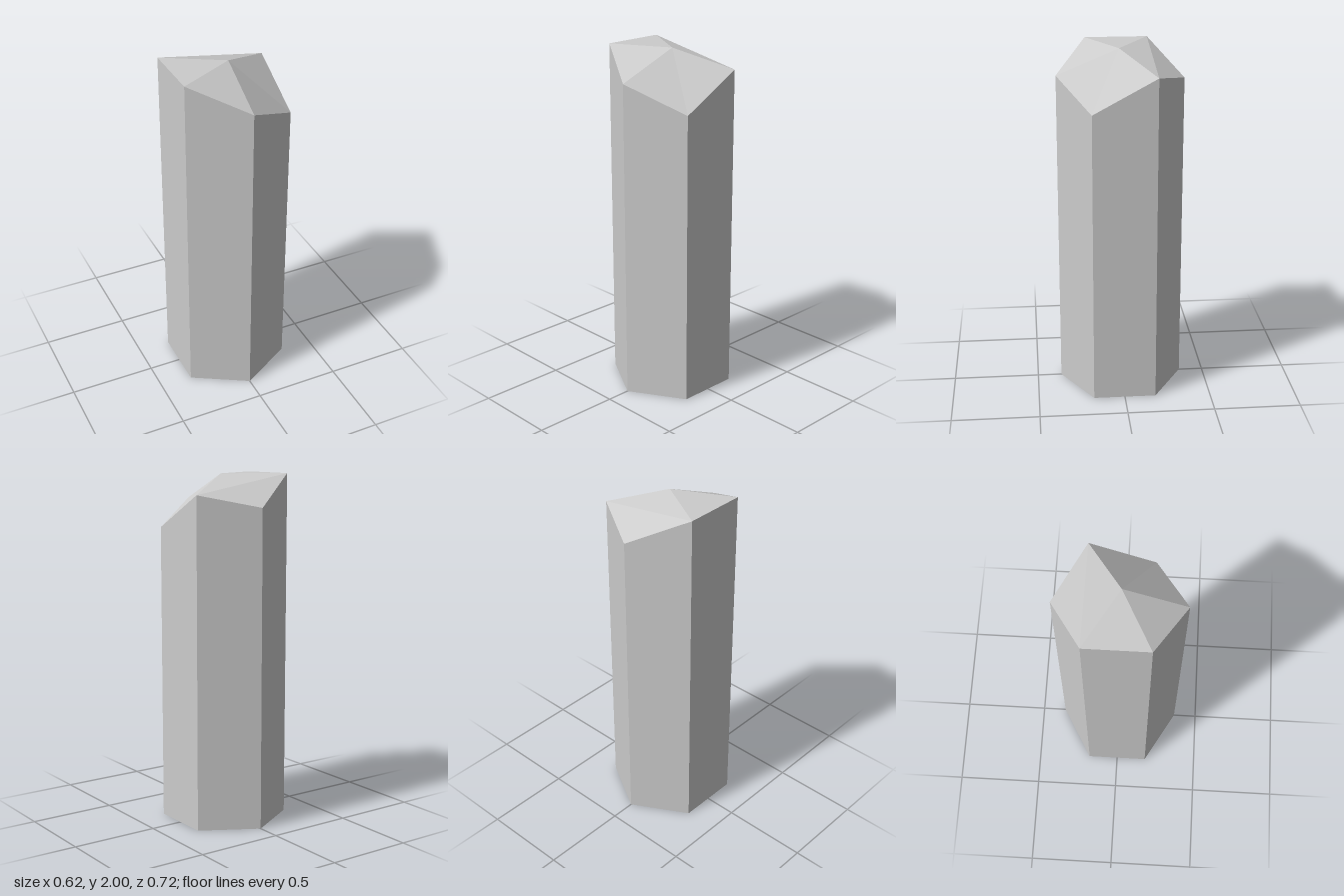
import * as THREE from 'three';

// Corner heights of the hexagonal column, starting at the front corner and turning towards +x
const HEIGHTS = [1.85, 1.7, 1.895, 1.825, 2, 2];
const RADIUS = 0.36;

function crystalGeometry() {
  const corner = (i, y) => {
    const a = (i * Math.PI) / 3;
    return [RADIUS * Math.sin(a), y, RADIUS * Math.cos(a)];
  };
  const bottom = HEIGHTS.map((_, i) => corner(i, 0));
  const top = HEIGHTS.map((y, i) => corner(i, y));
  const apex = [0.017, 2, 0.009];

  const positions = [];
  const tri = (a, b, c) => positions.push(...a, ...b, ...c);

  for (let i = 0; i < 6; i++) {
    const j = (i + 1) % 6;
    // side wall
    tri(bottom[i], bottom[j], top[j]);
    tri(bottom[i], top[j], top[i]);
    // flat base
    tri([0, 0, 0], bottom[j], bottom[i]);
  }

  // facets around the off-centre apex
  const rim = [4, 5, 0, 1, 2];
  rim.forEach((r, k) => tri(apex, top[r], top[rim[(k + 1) % rim.length]]));
  // sloping cut at the back corner
  tri(top[2], top[3], top[4]);

  const geometry = new THREE.BufferGeometry();
  geometry.setAttribute('position', new THREE.Float32BufferAttribute(positions, 3));
  geometry.computeVertexNormals();
  return geometry;
}

export function createModel() {
  const group = new THREE.Group();
  group.name = 'crystal';
  const material = new THREE.MeshStandardMaterial({ color: 0xcccccc, flatShading: true });
  const column = new THREE.Mesh(crystalGeometry(), material);
  column.name = 'crystalColumn';
  group.add(column);
  return group;
}
